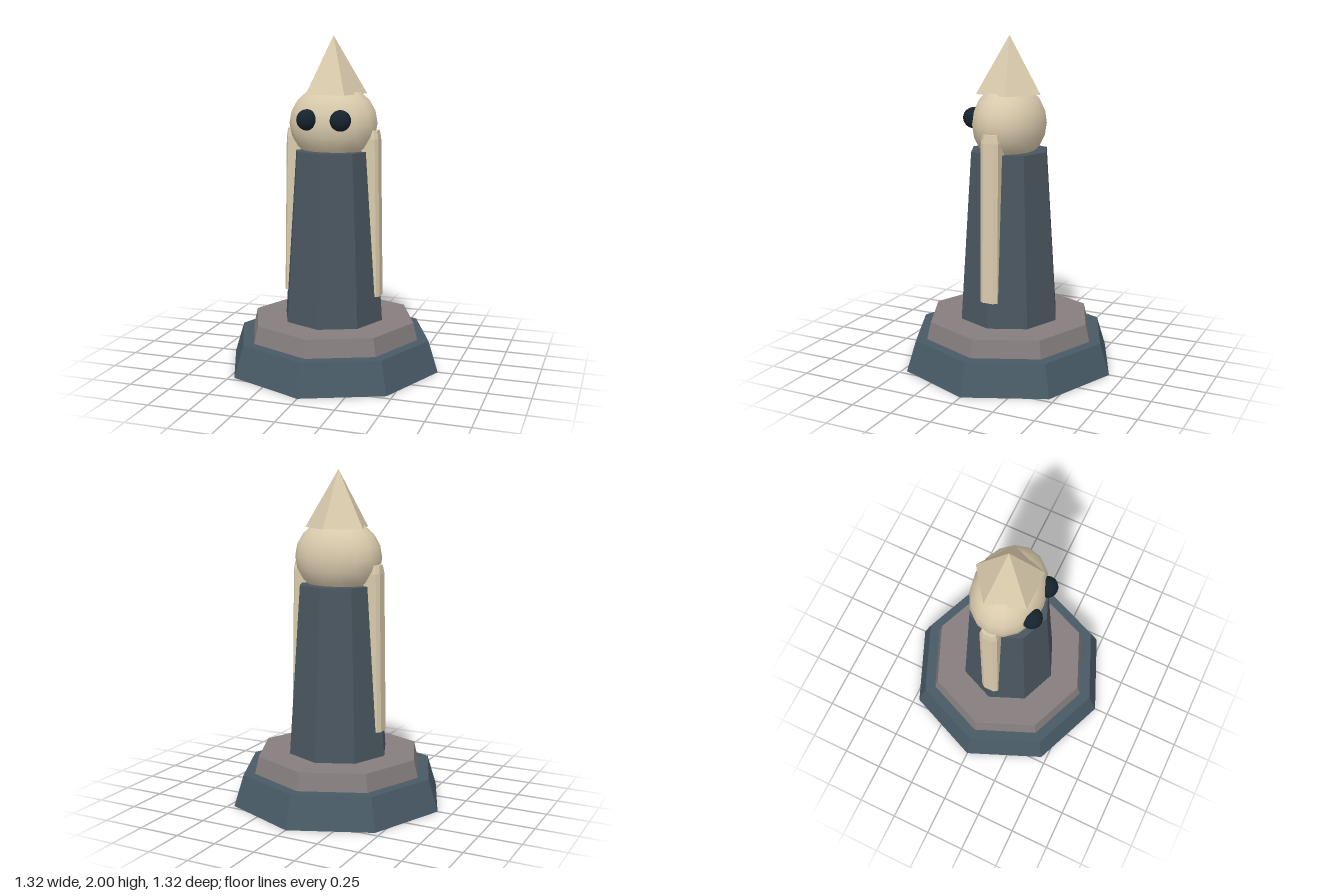
import * as THREE from 'three';

const material = (name, color, flatShading = true) => {
  const m = new THREE.MeshStandardMaterial({ color, flatShading });
  m.name = name;
  return m;
};

export function createModel() {
  const model = new THREE.Group();
  model.name = 'towerFigure';
  const slate = material('slate blue', 0x485a66);
  const darkSlate = material('slate grey', 0x4a565f);
  const stone = material('warm grey stone', 0x857d7e);
  const bone = material('bone', 0xd9caac);
  const smoothBone = bone.clone();
  smoothBone.flatShading = false;
  const eyeDark = material('eye dark', 0x15232d, false);

  const add = (name, geometry, mat, x = 0, y = 0, z = 0) => {
    const mesh = new THREE.Mesh(geometry, mat);
    mesh.name = name;
    mesh.position.set(x, y, z);
    model.add(mesh);
    return mesh;
  };

  // Stacked eight-sided tiers: top radius, bottom radius, bottom y, top y
  const tier = (name, rTop, rBottom, y0, y1, mat) =>
    add(name, new THREE.CylinderGeometry(rTop, rBottom, y1 - y0, 8), mat, 0, (y0 + y1) / 2);
  tier('base', 0.6, 0.66, 0, 0.19, slate);
  tier('plinth', 0.505, 0.53, 0.19, 0.295, stone);
  tier('body', 0.24, 0.31, 0.295, 1.325, darkSlate);

  // Wide rounded head with a five-sided pointed hat
  add('head', new THREE.SphereGeometry(1, 16, 10), smoothBone, 0, 1.485).scale.set(0.27, 0.235, 0.213);
  const hat = add('hat', new THREE.ConeGeometry(0.2, 0.34, 5), bone, 0, 1.83);
  hat.rotation.y = Math.PI;

  // Arm: bevelled bar leaning with the body, its top edge chamfered
  const section = new THREE.Shape([
    [0.19, -0.055], [0.27, -0.055], [0.286, -0.033],
    [0.286, 0.033], [0.27, 0.055], [0.19, 0.055],
  ].map(([x, z]) => new THREE.Vector2(x, z)));
  const armGeometry = new THREE.ExtrudeGeometry(section, { depth: 1, steps: 2, bevelEnabled: false });
  armGeometry.rotateX(-Math.PI / 2);
  const p = armGeometry.attributes.position;
  for (let i = 0; i < p.count; i++) {
    const t = p.getY(i);
    const y = t < 0.25 ? 0.45 : t < 0.75 ? 1.4 : 1.45;
    const inset = t > 0.75 ? 0.8 : 1;
    const lean = (1.4 - y) * 0.018 - (t > 0.75 ? 0.006 : 0);
    p.setXYZ(i, p.getX(i) + lean, y, p.getZ(i) * inset);
  }
  armGeometry.computeVertexNormals();

  for (const [side, s] of [['left', 1], ['right', -1]]) {
    const arm = add(side + 'Arm', armGeometry, bone);
    arm.rotation.y = s > 0 ? 0 : Math.PI;
    add(side + 'Eye', new THREE.SphereGeometry(0.062, 16, 12), eyeDark, s * 0.102, 1.517, 0.187);
  }
  return model;
}
